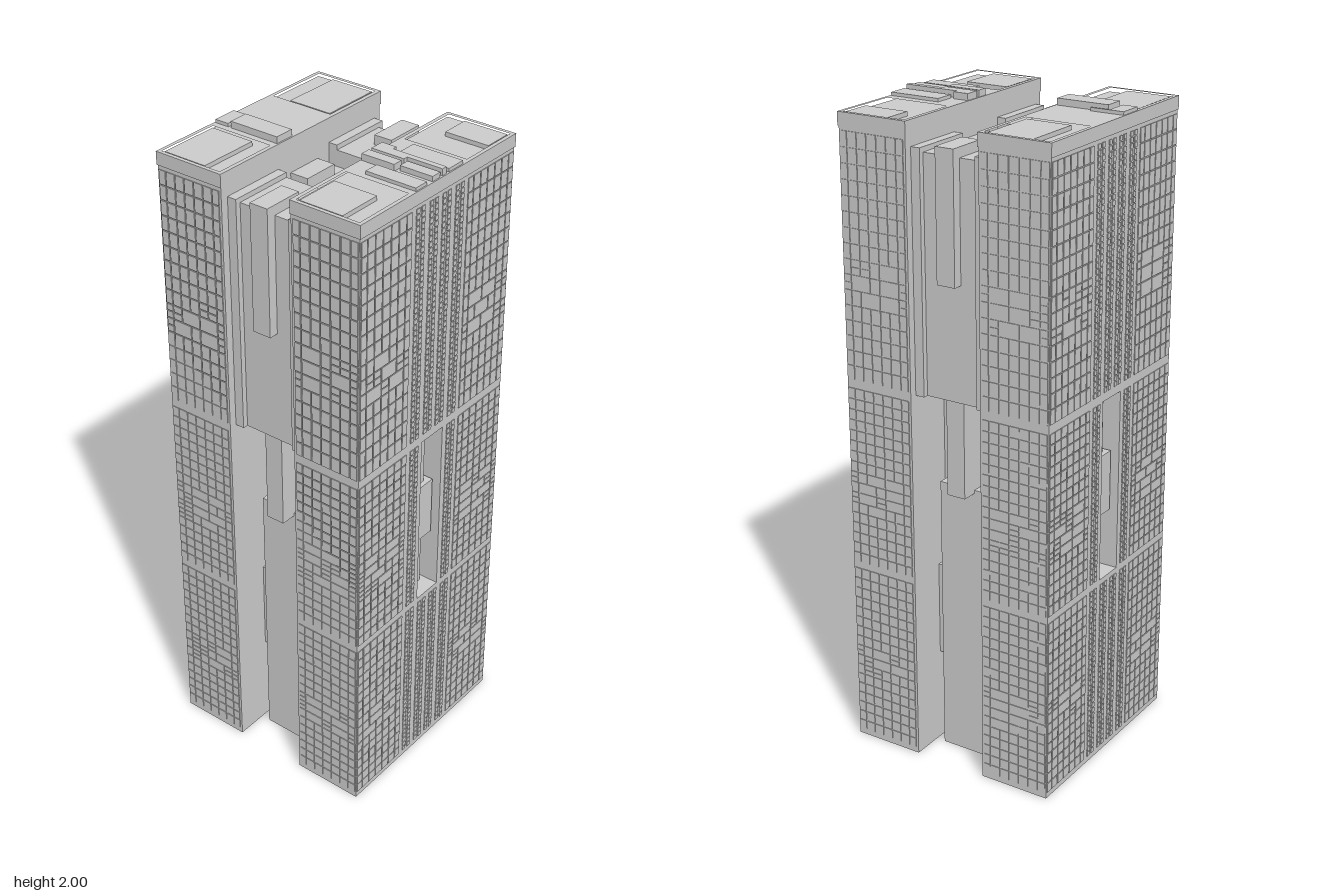
import * as THREE from 'three';
import { mergeGeometries } from 'three/addons/utils/BufferGeometryUtils.js';

const R = 0.347, WALL = 0.3445, SLOT = 0.119;
const MAT = new THREE.MeshStandardMaterial({ color: 0xcccccc, flatShading: true });

// Box from its lower and upper corners
function boxGeo(x0, x1, y0, y1, z0, z1) {
  return new THREE.BoxGeometry(x1 - x0, y1 - y0, z1 - z0)
    .translate((x0 + x1) / 2, (y0 + y1) / 2, (z0 + z1) / 2);
}

const rectPoints = (x0, x1, z0, z1) =>
  [[x0, z0], [x1, z0], [x1, z1], [x0, z1]].map(([x, z]) => new THREE.Vector2(x, -z));

// Plan shape extruded upward between two heights
function slab(points, holes, y0, y1) {
  const shape = new THREE.Shape(points);
  holes.forEach(h => shape.holes.push(new THREE.Path(h)));
  return new THREE.ExtrudeGeometry(shape, { depth: y1 - y0, bevelEnabled: false })
    .rotateX(-Math.PI / 2).translate(0, y0, 0);
}

// H-shaped plan: channels front and back, optional niches on the two sides
function plan(channelZ, nicheX) {
  const q = [[WALL, 0.05], [WALL, WALL], [SLOT, WALL], [SLOT, channelZ]];
  if (nicheX) q.unshift([nicheX, 0.05]);
  const flip = (sx, sy, list) => list.map(([x, y]) => new THREE.Vector2(x * sx, y * sy));
  const rev = [...q].reverse();
  return [...flip(1, 1, q), ...flip(-1, 1, rev), ...flip(-1, -1, q), ...flip(1, -1, rev)];
}

export function createModel() {
  const model = new THREE.Group();
  const add = (name, geos) => {
    const list = geos.map(g => (g.index ? g.toNonIndexed() : g));
    const mesh = new THREE.Mesh(mergeGeometries(list), MAT);
    mesh.name = name;
    model.add(mesh);
  };
  let seed = 7;
  const rand = () => (seed = (seed * 16807) % 2147483647) / 2147483647;

  // Main body, open underneath
  const well = 0.17;
  add('towerBody', [
    slab(plan(0.2), [rectPoints(-well, well, -well, well)], 0, 0.55),
    slab(plan(0.2), [], 0.55, 0.6),
    slab(plan(0.18, 0.265), [], 0.6, 1.17),
    slab(plan(0.18), [], 1.17, 1.18),
    slab(plan(0.12), [], 1.18, 1.84),
  ]);

  // Twin upper wings with sunken corner roofs
  const wings = [];
  for (const s of [-1, 1]) {
    const span = (a, b) => (s > 0 ? [a, b] : [-b, -a]);
    wings.push(boxGeo(...span(SLOT, WALL), 1.84, 1.94, -WALL, WALL));
    const [a, b] = span(0.117, R), [c, d] = span(0.13, 0.335);
    wings.push(boxGeo(a, b, 1.94, 1.965, -R, R));
    wings.push(slab(rectPoints(a, b, -R, R),
      [rectPoints(c, d, -0.335, -0.13), rectPoints(c, d, 0.13, 0.335)], 1.965, 1.98));
  }
  add('upperWings', wings);

  // Corner roof plant: x0, x1, z0, z1
  add('cornerRoofBoxes', [
    [-0.28, -0.137, -0.33, -0.137], [0.187, 0.33, -0.33, -0.238],
    [-0.33, -0.187, 0.137, 0.33], [0.137, 0.277, 0.187, 0.33],
  ].map(([a, b, c, d]) => boxGeo(a, b, 1.965, 1.978, c, d)));

  // Raised roof plant between the corners: x0, x1, z0, z1, top
  add('roofPlant', [
    [0.18, 0.343, -0.1, -0.037, 1.99], [0.12, 0.168, -0.04, 0.007, 2],
    [0.168, 0.228, -0.025, 0.007, 2], [0.228, 0.343, -0.025, -0.007, 2],
    [0.237, 0.343, 0.003, 0.037, 1.995], [0.12, 0.228, 0.018, 0.05, 2],
    [0.18, 0.343, 0.062, 0.11, 1.99], [-0.287, -0.122, 0.047, 0.11, 2],
    [-0.343, -0.297, 0.035, 0.11, 1.99], [-0.343, -0.238, 0.033, 0.037, 1.99],
  ].map(([a, b, c, d, top]) => boxGeo(a, b, 1.975, top, c, d)));

  // Low boxes against the wings on the central bridge
  add('bridgeBoxes', [
    boxGeo(0.059, SLOT, 1.84, 1.875, -0.06, 0.058),
    boxGeo(-SLOT, -0.059, 1.84, 1.875, -0.06, 0.058),
  ]);

  // Stepped blocks filling the front and back channels
  const channel = [];
  for (const turn of [0, Math.PI]) {
    const put = (...b) => channel.push(boxGeo(...b).rotateY(turn));
    put(-0.09, 0.09, 1.18, 1.89, 0.11, 0.303);
    put(-0.03, 0.03, 1.53, 1.92, 0.203, 0.333);
    put(-0.03, 0.03, 0.88, 1.18, 0.17, 0.295);
    put(-0.09, 0.09, 0, 0.89, 0.185, 0.245);
    for (const s of [-1, 1]) {
      const [a, b] = s > 0 ? [0.09, SLOT] : [-SLOT, -0.09];
      put(a, b, 1.18, 1.905, 0.11, 0.32);
      put(a, b, 0.3, 0.6, 0.17, 0.22);
    }
  }
  add('channelBlocks', channel);

  // Stepped blocks inside the side niches
  const niche = [];
  for (const turn of [0, Math.PI]) {
    const put = (...b) => niche.push(boxGeo(...b).rotateY(turn));
    put(0.25, 0.305, 0.97, 1.17, -0.02, 0.02);
    put(0.25, 0.32, 0.79, 0.98, -0.044, 0.044);
    put(0.25, 0.295, 0.6, 0.79, -0.03, 0.03);
  }
  add('nicheBlocks', niche);

  // Window panels: bottom, top and floor pitch of the three storeys
  const storeys = [[0.018, 0.585, 0.0333], [0.605, 1.17, 0.0332], [1.195, 1.93, 0.0459]];
  const patches = [[0.19, 0.3], [0.75, 0.88], [1.42, 1.55]];
  const columns = [0.125, 0.15, 0.183, 0.216, 0.25, 0.283, 0.316, 0.342];
  const gap = 0.0035;
  const panels = [], strips = [];
  for (let face = 0; face < 4; face++) {
    const angle = face * Math.PI / 2;
    const panel = (list, u0, u1, y0, y1) => {
      if (y1 - y0 < 0.004) return;
      list.push(boxGeo(u0 + gap / 2, u1 - gap / 2, y0 + gap / 2, y1 - gap / 2, WALL - 0.001, R)
        .rotateY(angle));
    };
    for (const s of [-1, 1]) {
      const cell = (i, j, y0, y1) => {
        const a = columns[i] * s, b = columns[j] * s;
        panel(panels, Math.min(a, b), Math.max(a, b), y0, y1);
      };
      storeys.forEach(([y0, y1, pitch], k) => {
        const rows = Math.round((y1 - y0) / pitch), h = (y1 - y0) / rows;
        for (let r = 0; r < rows; r++) {
          const y = y0 + r * h;
          const patch = y > patches[k][0] && y < patches[k][1];
          for (let i = 0; i < 7;) {
            // Irregular panels in the middle of each storey
            const wide = patch && i > 0 && i < 5 && rand() < 0.6 ? 2 : 1;
            if (patch && wide === 1 && rand() < 0.5) {
              cell(i, i + 1, y, y + h / 2);
              cell(i, i + 1, y + h / 2, y + h);
            } else cell(i, i + wide, y, y + h);
            i += wide;
          }
        }
      });
    }
    // Narrow window strips in the middle of the two sides
    if (face % 2) {
      storeys.forEach(([y0, y1], k) => {
        const rows = Math.round((y1 - y0) / 0.0175), h = (y1 - y0) / rows;
        for (const u of [0.1, 0.077, 0.04, 0.017]) {
          if (k === 1 && u < 0.06) continue;
          for (const s of [-1, 1]) for (let r = 0; r < rows; r++)
            panel(strips, s * u - 0.009, s * u + 0.009, y0 + r * h, y0 + (r + 1) * h);
        }
      });
    }
  }
  add('windowPanels', panels);
  add('sideWindowStrips', strips);

  // Panels lining the open well beneath
  const lining = [];
  for (let face = 0; face < 4; face++)
    for (let i = 0; i < 5; i++) for (let r = 0; r < 11; r++) {
      const u = -0.16 + i * 0.064, y = 0.02 + r * 0.046;
      lining.push(boxGeo(u, u + 0.06, y, y + 0.042, well - 0.0025, well + 0.001)
        .rotateY(face * Math.PI / 2));
    }
  add('wellLining', lining);
  return model;
}
